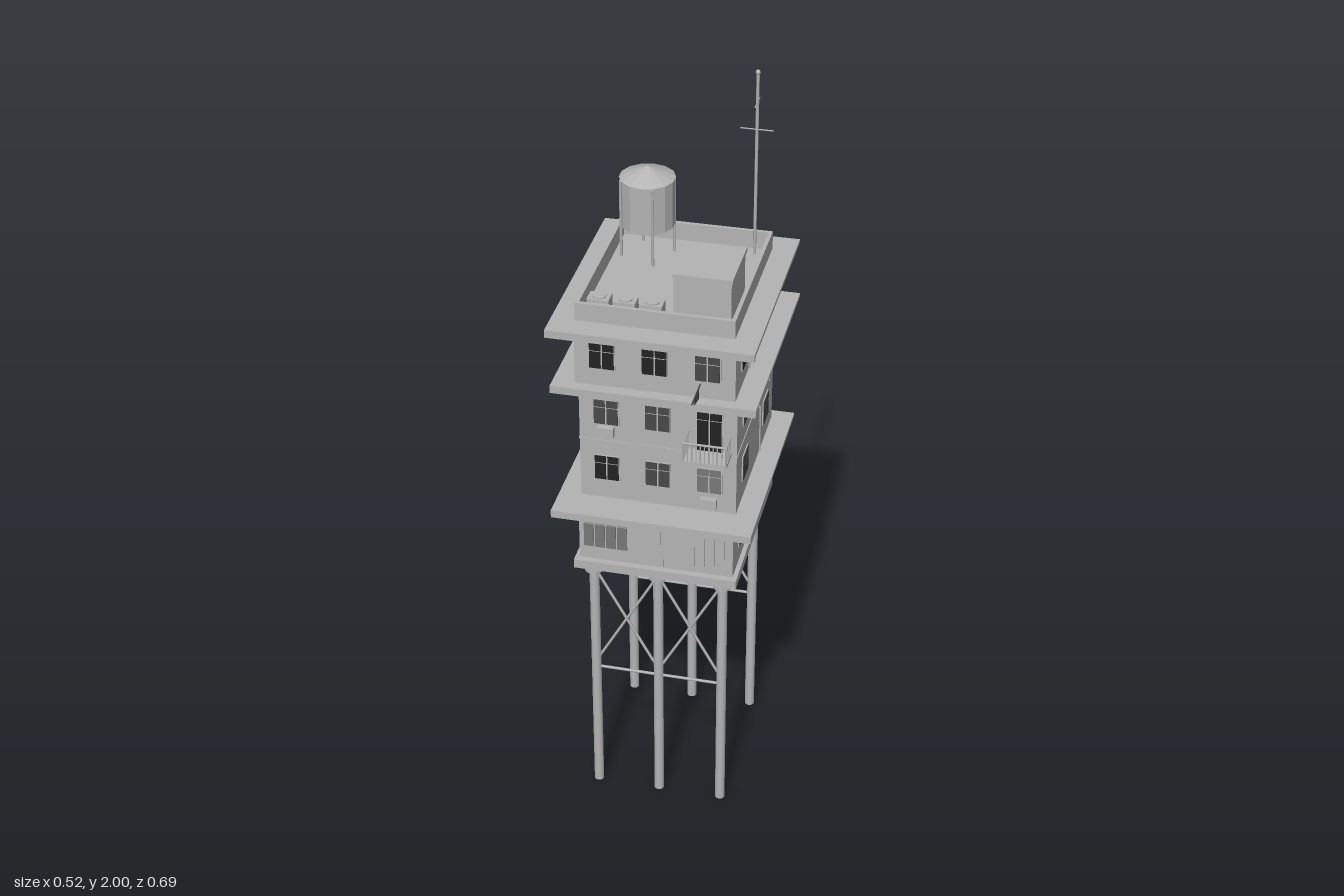
import * as THREE from 'three';

export function createModel() {
  const root = new THREE.Group();
  root.name = 'stiltTower';
  const mat = (name, color) => {
    const m = new THREE.MeshStandardMaterial({ color });
    m.name = name;
    return m;
  };
  const grey = mat('concreteGrey', 0xb4b4b4);
  const glass = {
    d: mat('darkGlass', 0x222222),
    m: mat('midGlass', 0x484848),
    l: mat('paleGlass', 0x777777),
  };

  const add = (name, geo, material, x, y, z, parent = root) => {
    const m = new THREE.Mesh(geo, material);
    m.name = name;
    m.position.set(x, y, z);
    parent.add(m);
    return m;
  };
  // Box given by its limits on each axis
  const block = (name, x0, x1, y0, y1, z0, z1, material = grey, parent = root) =>
    add(name, new THREE.BoxGeometry(x1 - x0, y1 - y0, z1 - z0), material,
      (x0 + x1) / 2, (y0 + y1) / 2, (z0 + z1) / 2, parent);
  const post = (name, r, x, y0, y1, z, sides = 8) =>
    add(name, new THREE.CylinderGeometry(r, r, y1 - y0, sides), grey, x, (y0 + y1) / 2, z);
  const rod = (name, a, b, r, material = grey, parent = root) => {
    const p = new THREE.Vector3(...a), q = new THREE.Vector3(...b);
    const mid = p.clone().add(q).multiplyScalar(0.5);
    const m = add(name, new THREE.CylinderGeometry(r, r, p.distanceTo(q), 6), material, mid.x, mid.y, mid.z, parent);
    m.quaternion.setFromUnitVectors(new THREE.Vector3(0, 1, 0), q.sub(p).normalize());
    return m;
  };

  // Stilts with caps, cross braces and tie bars
  for (const z of [0.225, -0.185]) {
    for (const x of [-0.172, 0, 0.172]) {
      post('stilt', 0.0135, x, 0, 0.73, z, 12);
      post('stiltCap', 0.026, x, 0.727, 0.755, z, 12);
    }
    for (const s of [-1, 1]) {
      rod('crossBrace', [s * 0.16, 0.71, z], [s * 0.012, 0.44, z], 0.004);
      rod('crossBrace', [s * 0.012, 0.71, z], [s * 0.16, 0.44, z], 0.004);
    }
    rod('tieBar', [-0.165, 0.4, z], [0.165, 0.4, z], 0.004);
  }

  // Storeys, stepped forward and back
  block('baseSlab', -0.215, 0.215, 0.753, 0.779, -0.227, 0.267);
  block('lowerStorey', -0.203, 0.203, 0.779, 0.945, -0.21, 0.25);
  block('middleStoreys', -0.203, 0.203, 0.955, 1.305, -0.25, 0.22);
  block('upperStorey', -0.203, 0.203, 1.313, 1.482, -0.22, 0.25);
  block('floorBand', -0.205, 0.205, 1.128, 1.133, -0.252, 0.222);

  // Projecting eaves, each with a lip along the front edge
  for (const [y, z0, z1] of [[0.957, -0.28, 0.31], [1.314, -0.31, 0.28], [1.491, -0.28, 0.31]]) {
    block('eave', -0.26, 0.26, y - 0.01, y, z0, z1);
    block('eaveLip', -0.26, 0.26, y - 0.021, y, z1 - 0.012, z1);
  }

  // Roof parapet
  for (const s of [-1, 1]) {
    block('parapetSide', s * 0.195 - 0.005, s * 0.195 + 0.005, 1.49, 1.54, -0.217, 0.247);
    const z = 0.015 + s * 0.227;
    block('parapetEnd', -0.19, 0.19, 1.49, 1.54, z - 0.005, z + 0.005);
  }

  // A mount lies on a wall: local x runs along it, local z points outward
  const sides = {
    front: (u, y, z) => [u, y, z, 0],
    back: (u, y, z) => [u, y, z, Math.PI],
    right: (u, y) => [0.203, y, u, Math.PI / 2],
    left: (u, y) => [-0.203, y, u, -Math.PI / 2],
  };
  const mount = (name, side, u, y, z = 0) => {
    const g = new THREE.Group();
    const [px, py, pz, turn] = sides[side](u, y, z);
    g.name = name;
    g.position.set(px, py, pz);
    g.rotation.y = turn;
    root.add(g);
    return g;
  };

  // Window with two tall panes under two small ones
  const addWindow = (side, u, y, z, tone = 'd', h = 0.07) => {
    const g = mount('window', side, u, y, z);
    block('windowFrame', -0.034, 0.034, -h / 2 - 0.002, h / 2 + 0.002, -0.002, 0.003, grey, g);
    for (const s of [-1, 1]) {
      const a = s < 0 ? -0.031 : 0.002, b = a + 0.029;
      block('lowerPane', a, b, -h / 2, h / 2 - 0.023, 0, 0.0045, glass[tone], g);
      block('upperPane', a, b, h / 2 - 0.02, h / 2, 0, 0.0045, glass[tone], g);
    }
  };
  const rows = [
    ['front', 1.4, 0.25, [[-0.133, 'd'], [0, 'd'], [0.133, 'm']]],
    ['front', 1.218, 0.22, [[-0.133, 'm'], [0, 'm']]],
    ['front', 1.05, 0.22, [[-0.133, 'd'], [0, 'm'], [0.133, 'l']]],
    ['right', 1.4, 0, [[0.151, 'd']]],
    ['right', 1.218, 0, [[0.12, 'm'], [-0.013, 'd'], [-0.146, 'm']]],
    ['right', 1.05, 0, [[0.12, 'm'], [-0.146, 'm']]],
    ['right', 0.867, 0, [[0.151, 'd'], [0.018, 'd'], [-0.114, 'd']]],
    ['left', 1.218, 0, [[0.12, 'd'], [-0.146, 'm']]],
    ['left', 1.05, 0, [[0.12, 'm']]],
    ['left', 0.867, 0, [[0.151, 'm'], [-0.114, 'd']]],
    ['back', 1.4, -0.22, [[-0.133, 'd'], [0.133, 'd']]],
    ['back', 1.218, -0.25, [[0, 'm'], [0.133, 'm']]],
    ['back', 1.05, -0.25, [[-0.133, 'd'], [0, 'd'], [0.133, 'd']]],
    ['back', 0.867, -0.21, [[-0.133, 'l']]],
  ];
  for (const [side, y, z, list] of rows) for (const [u, tone] of list) addWindow(side, u, y, z, tone);

  // Balcony with its glazed door
  addWindow('front', 0.133, 1.196, 0.22, 'd', 0.115);
  block('balconyFloor', 0.077, 0.189, 1.133, 1.142, 0.22, 0.28);
  for (let i = 0; i <= 10; i++) post('baluster', 0.0018, 0.079 + i * 0.0108, 1.14, 1.193, 0.278, 5);
  for (const x of [0.079, 0.187]) {
    for (let i = 0; i < 5; i++) post('baluster', 0.0018, x, 1.14, 1.193, 0.227 + i * 0.0108, 5);
    rod('sideRail', [x, 1.193, 0.22], [x, 1.193, 0.28], 0.003);
  }
  rod('frontRail', [0.077, 1.193, 0.278], [0.189, 1.193, 0.278], 0.003);

  // Shop front: glazed bay, door and slatted shutter
  for (let i = 0; i < 4; i++) {
    const x = -0.19 + i * 0.0295;
    block('shopPane', x, x + 0.026, 0.819, 0.888, 0.248, 0.253, glass.l);
    block('shopTransom', x, x + 0.026, 0.892, 0.914, 0.248, 0.253, glass.l);
  }
  block('shopDoor', -0.055, 0.02, 0.782, 0.914, 0.249, 0.254);
  block('doorLeaf', -0.05, 0.015, 0.784, 0.908, 0.25, 0.256);
  for (let i = 0; i < 5; i++) block('shutterSlat', 0.055 + i * 0.026, 0.078 + i * 0.026, 0.8, 0.914, 0.249, 0.254);

  // Stairwell strips on the left wall
  for (const [y0, y1] of [[0.79, 0.935], [0.97, 1.29], [1.325, 1.475]])
    block('stairStrip', -0.208, -0.202, y0, y1, -0.035, 0.01);

  // Drainpipes
  for (const [x, y0, y1, z] of [
    [0.204, 0.78, 0.945, -0.045], [0.204, 0.958, 1.3, -0.077], [0.204, 1.315, 1.48, 0.087],
    [0.07, 0.958, 1.3, -0.251], [0.07, 1.315, 1.48, -0.221]])
    post('drainpipe', 0.003, x, y0, y1, z, 6);

  // Wall cooling units below some windows
  for (const [side, u, y, z] of [
    ['front', -0.133, 1.163, 0.22], ['front', 0.133, 0.985, 0.22], ['right', -0.013, 1.163, 0],
    ['right', -0.146, 1.163, 0], ['left', -0.146, 1.163, 0], ['left', 0.12, 0.985, 0]]) {
    const g = mount('coolingUnit', side, u, y, z);
    block('coolingCase', -0.021, 0.021, -0.014, 0.014, 0, 0.016, grey, g);
  }

  // Drying poles with hanging cloths
  for (const [side, u, y, z] of [['front', 0.115, 1.353, 0.25], ['back', 0.15, 1.0, -0.25]]) {
    const g = mount('dryingPole', side, u, y, z);
    rod('pole', [0, 0, 0], [0, 0, 0.095], 0.0018, glass.m, g);
    for (let i = 0; i < 3; i++)
      block('cloth', -0.002, 0.002, -0.026 + i * 0.004, 0, 0.024 + i * 0.016, 0.036 + i * 0.016, glass.m, g);
  }

  // Stair house on the roof
  block('stairHouse', 0.045, 0.187, 1.49, 1.638, 0.077, 0.237);
  block('stairHouseRoof', 0.042, 0.19, 1.636, 1.646, 0.069, 0.24);
  block('stairHouseDoor', 0.08, 0.13, 1.492, 1.6, 0.073, 0.078);

  // Roof fan units
  for (const x of [-0.148, -0.082, -0.015]) {
    block('fanUnit', x - 0.0275, x + 0.0275, 1.49, 1.541, 0.184, 0.224);
    post('fanCover', 0.017, x, 1.54, 1.545, 0.204, 16);
  }

  // Water tank with conical lid
  const tx = -0.105, tz = -0.12;
  const tankMat = grey.clone();
  tankMat.name = 'tankGrey';
  tankMat.flatShading = true;
  add('waterTank', new THREE.CylinderGeometry(0.07, 0.07, 0.13, 14), tankMat, tx, 1.645, tz);
  add('tankLid', new THREE.ConeGeometry(0.072, 0.03, 14), tankMat, tx, 1.725, tz);
  for (let i = 0; i < 4; i++) {
    const a = 0.41 + i * Math.PI / 2;
    post('tankLeg', 0.004, tx + Math.cos(a) * 0.069, 1.49, 1.705, tz - Math.sin(a) * 0.069, 6);
  }

  // Aerial mast
  post('mast', 0.0042, 0.16, 1.49, 1.99, -0.18, 8);
  add('mastTip', new THREE.SphereGeometry(0.0065, 10, 8), grey, 0.16, 1.9935, -0.18);
  rod('aerialBar', [0.118, 1.84, -0.18], [0.202, 1.84, -0.18], 0.0018);
  rod('aerialBar', [0.16, 1.913, -0.207], [0.16, 1.913, -0.151], 0.0018);

  return root;
}
